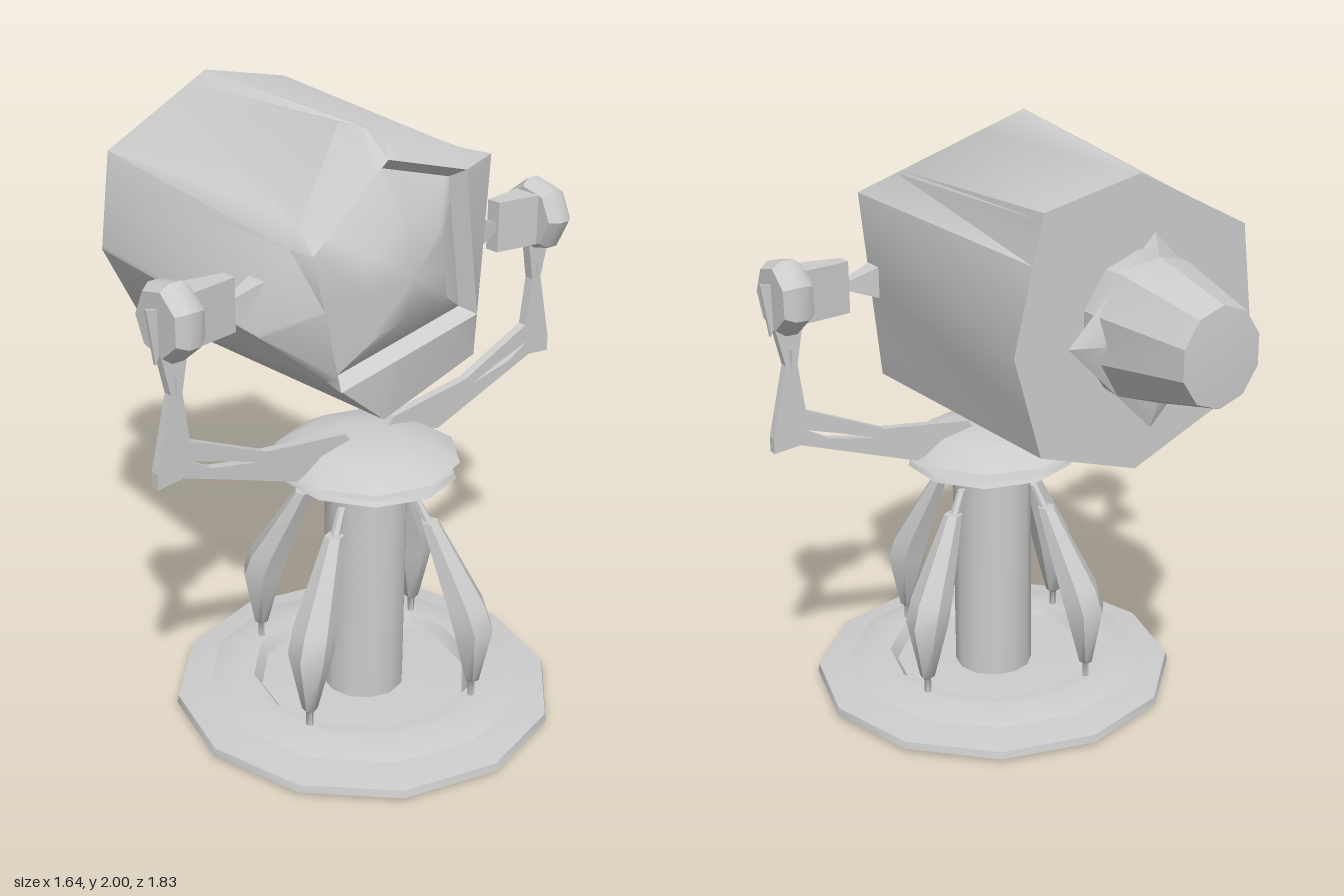
import * as THREE from 'three';
import { toCreasedNormals } from 'three/addons/utils/BufferGeometryUtils.js';

const grey = new THREE.MeshStandardMaterial({ color: 0xcccccc });
grey.name = 'light grey';
const CZ = 0.28; // z of the stand axis

// Skin a list of rings (each a loop of [x, y, z]) in order
function loft(rings, crease = 0.7) {
  const pos = [];
  const tri = (a, b, c) => {
    const A = new THREE.Vector3(...a), B = new THREE.Vector3(...b), C = new THREE.Vector3(...c);
    if (B.clone().sub(A).cross(C.clone().sub(A)).length() > 1e-9) pos.push(...a, ...b, ...c);
  };
  for (let i = 0; i < rings.length - 1; i++) {
    const n = rings[i].length;
    for (let j = 0; j < n; j++) {
      const k = (j + 1) % n;
      tri(rings[i][j], rings[i][k], rings[i + 1][k]);
      tri(rings[i][j], rings[i + 1][k], rings[i + 1][j]);
    }
  }
  const g = new THREE.BufferGeometry();
  g.setAttribute('position', new THREE.Float32BufferAttribute(pos, 3));
  return toCreasedNormals(g, crease);
}

function lathe(profile, sides, crease = 0.6) {
  const g = new THREE.LatheGeometry(profile.map(p => new THREE.Vector2(...p)), sides);
  return toCreasedNormals(g, crease);
}

function add(parent, name, geometry, x = 0, y = 0, z = 0) {
  const m = new THREE.Mesh(geometry, grey);
  m.name = name;
  m.position.set(x, y, z);
  parent.add(m);
  return m;
}

// Distance from the origin to a polygon's edge along angle a
function radiusAt(poly, a) {
  const dx = Math.cos(a), dy = Math.sin(a);
  let best = 0;
  poly.forEach(([px, py], i) => {
    const [qx, qy] = poly[(i + 1) % poly.length];
    const ex = qx - px, ey = qy - py, den = dx * ey - dy * ex;
    const t = (px * ey - py * ex) / den, u = (px * dy - py * dx) / den;
    if (t > 0 && u > -1e-6 && u < 1 + 1e-6) best = Math.max(best, t);
  });
  return best;
}

// Lamp drum: uneven pentagon at the front blending to a rounder back
function drumGeometry() {
  const cy = 1.53;
  const shift = pts => pts.map(([x, y]) => [x, y - cy]);
  const front = shift([[-0.17, 2], [-0.51, 1.45], [-0.04, 1.06], [0.35, 1.17], [0.44, 1.8]]);
  const back = shift([[0, 1.97], [-0.39, 1.77], [-0.43, 1.45], [-0.3, 1.2], [0, 1.07],
    [0.34, 1.18], [0.43, 1.5], [0.33, 1.9]]);
  const opening = shift([[-0.06, 1.89], [-0.34, 1.66], [-0.23, 1.21], [0.33, 1.32], [0.26, 1.8]]);
  const angles = [...front, ...back, ...opening].map(([x, y]) => Math.atan2(y, x)).sort((a, b) => a - b);
  const ring = (poly, s, z) => angles.map(a => {
    const r = radiusAt(poly, a) * s, y = cy + r * Math.sin(a);
    return [r * Math.cos(a), y, typeof z === 'function' ? z(y) : z];
  });
  return loft([
    ring(back, 0, -0.53), ring(back, 1, -0.53),
    ring(front, 1, y => 0.33 + (2 - y) * 0.075),
    ring(opening, 1, 0.42), ring(opening, 0.9, 0.37),
    ring(opening, 0.5, 0.45), ring(opening, 0, 0.475),
  ], 0.75);
}

// Spindle-shaped strut leaning in towards the column
function strutGeometry() {
  const rows = [[0.39, 0.08, 0.012], [0.39, 0.15, 0.012], [0.39, 0.16, 0.025],
    [0.383, 0.36, 0.072], [0.355, 0.44, 0.07], [0.225, 0.7, 0.03],
    [0.215, 0.7, 0.016], [0.175, 0.77, 0.014]];
  const ring = ([cx, y, r]) => Array.from({ length: 6 }, (_, i) => {
    const a = i * Math.PI / 3;
    return [cx + r * Math.cos(a), y, -r * Math.sin(a)];
  });
  const first = rows[0], last = rows[rows.length - 1];
  return loft([[first[0], first[1], 0], ...rows, [last[0], last[1], 0]].map(ring), 0.9);
}

// Thin bent arm with two slots
function armGeometry() {
  const path = (pts, C) => new C(pts.map(p => new THREE.Vector2(...p)));
  const s = path([[0.08, 0.96], [0.3, 0.89], [0.72, 1.04], [0.81, 1.03], [0.81, 1.08],
    [0.755, 1.31], [0.785, 1.44], [0.69, 1.44], [0.715, 1.31], [0.695, 1.15],
    [0.42, 1.03], [0.1, 0.99]], THREE.Shape);
  s.holes.push(path([[0.45, 1.005], [0.62, 1.04], [0.71, 1.09], [0.58, 1.05]], THREE.Path));
  s.holes.push(path([[0.737, 1.29], [0.744, 1.36], [0.73, 1.36]], THREE.Path));
  const g = new THREE.ExtrudeGeometry(s, { depth: 0.03, bevelEnabled: false });
  g.translate(0, 0, -0.015);
  return g;
}

export function createModel() {
  const model = new THREE.Group();
  model.name = 'swivelSpotlight';

  // Stand
  add(model, 'basePlate', lathe([[0, 0.005], [0.63, 0.02], [0.625, 0.045], [0.5, 0.062], [0, 0.05]], 12), 0, 0, CZ);
  add(model, 'baseRing', lathe([[0.4, 0.05], [0.52, 0.073], [0.42, 0.1], [0.37, 0.097], [0.34, 0.053]], 12), 0, 0, CZ);
  add(model, 'column', toCreasedNormals(new THREE.CylinderGeometry(0.135, 0.135, 0.78, 12), 0.7), 0, 0.44, CZ);
  const strut = strutGeometry();
  for (let i = 0; i < 4; i++) {
    add(model, 'strut', strut, 0, 0, CZ).rotation.y = Math.atan2(-0.36, 0.15) + i * Math.PI / 2;
  }

  // Turntable
  const collar = add(model, 'collar', lathe([[0, -0.025], [0.2, -0.025], [0.29, 0.005], [0.28, 0.02], [0, 0.03]], 10), 0, 0.835, CZ);
  collar.rotation.z = -0.03;
  add(model, 'turntable', lathe([[0, 0.85], [0.15, 0.855], [0.3, 0.89], [0.21, 0.945], [0.1, 0.965], [0, 0.965]], 10), 0, 0, CZ);

  // Yoke: arm, joint wheel and pivot on each side
  const arm = armGeometry();
  const wheel = lathe([[0, -0.05], [0.1, -0.05], [0.122, -0.02], [0.122, 0.02], [0.1, 0.05], [0, 0.05]], 7);
  const tab = new THREE.ExtrudeGeometry(new THREE.Shape([[0.77, 1.46], [0.795, 1.41], [0.82, 1.58],
    [0.77, 1.57]].map(p => new THREE.Vector2(...p))), { depth: 0.012, bevelEnabled: false });
  // Four-sided section at x with half height h and half depth d
  const sect = (x, h, d) => [[x, -h, -d], [x, h, -d], [x, h, d], [x, -h, d]];
  const pivot = loft([sect(0.43, 0, 0), sect(0.43, 0.05, 0.035), sect(0.53, 0.015, 0.015),
    sect(0.53, 0.083, 0.025), sect(0.69, 0.083, 0.05), sect(0.69, 0, 0)], 0.4);
  for (const side of [1, -1]) {
    const yoke = new THREE.Group();
    yoke.name = side > 0 ? 'leftYoke' : 'rightYoke';
    yoke.position.z = CZ;
    yoke.rotation.y = side > 0 ? 0 : Math.PI;
    add(yoke, 'arm', arm);
    const w = add(yoke, 'jointWheel', wheel, 0.735, 1.53, 0);
    w.rotation.z = Math.PI / 2;
    add(yoke, 'jointTab', tab, 0, 0, -0.006);
    add(yoke, 'pivot', pivot, 0, 1.53, 0);
    model.add(yoke);
  }

  // Lamp
  add(model, 'lampDrum', drumGeometry());
  const nozzle = add(model, 'rearNozzle', lathe([[0, 0], [0.22, 0], [0.225, 0.07], [0.15, 0.38], [0, 0.39]], 10), 0, 1.53, -0.53);
  nozzle.rotation.x = -Math.PI / 2;
  nozzle.scale.x = 0.92;
  const fins = add(model, 'nozzleFins', lathe([[0, -0.05], [0.2, -0.035], [0.295, 0], [0.2, 0.035], [0, 0.05]], 4), 0, 1.52, -0.6);
  fins.rotation.x = -Math.PI / 2;

  return model;
}
